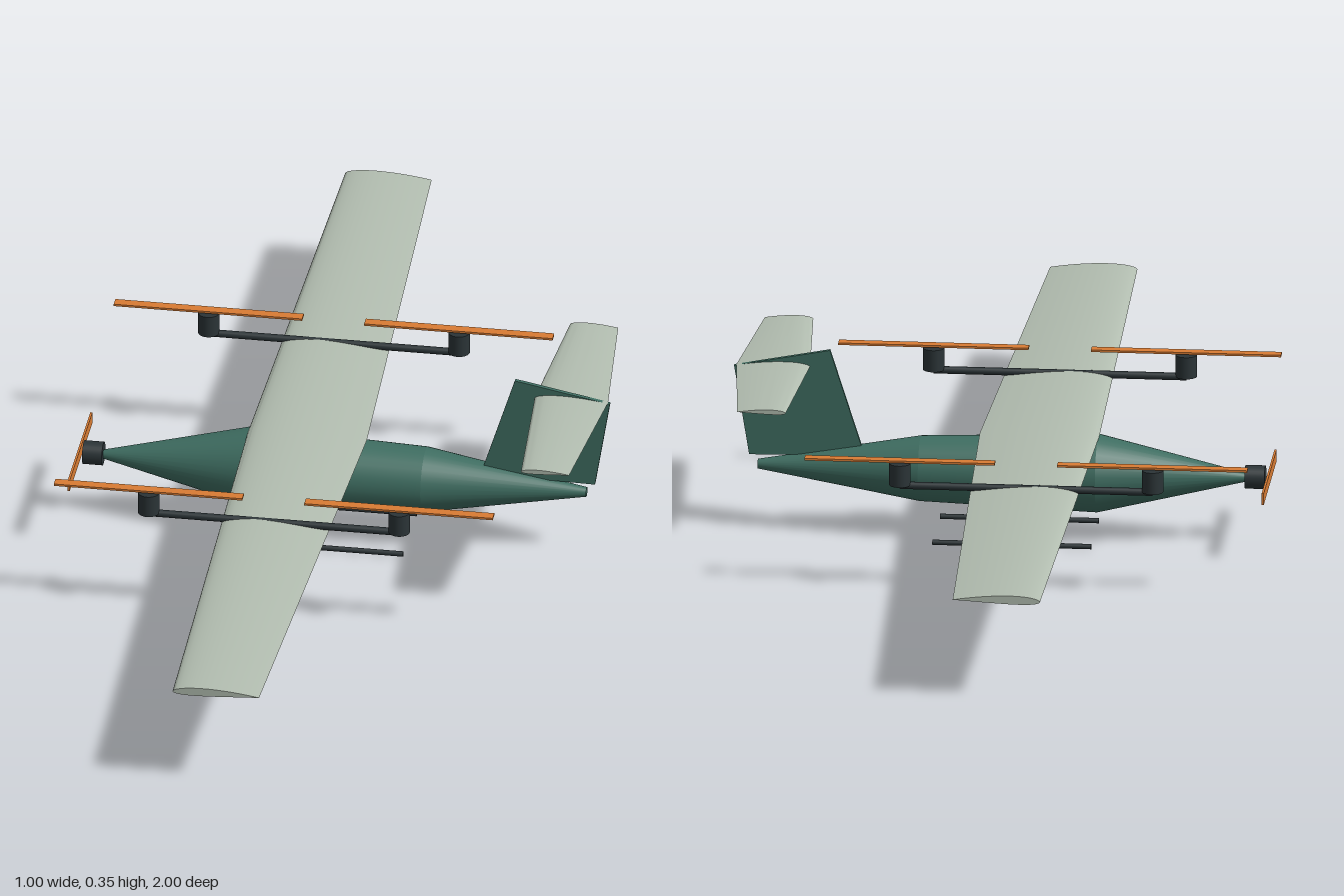
import * as THREE from 'three';
import { toCreasedNormals } from 'three/addons/utils/BufferGeometryUtils.js';

const paint = (color) => new THREE.MeshStandardMaterial({ color, side: THREE.DoubleSide });

// Unit-chord aerofoil, leading edge at x = 0, cambered a little upwards
function aerofoil(thickness) {
  const n = 16, upper = [], lower = [];
  for (let i = 0; i <= n; i++) {
    const x = (1 - Math.cos((i / n) * Math.PI)) / 2;
    const half = 5 * thickness * (0.2969 * Math.sqrt(x) - 0.126 * x - 0.3516 * x * x + 0.2843 * x ** 3 - 0.1036 * x ** 4);
    const camber = 0.06 * x * (1 - x);
    upper.push(new THREE.Vector2(x, camber + half));
    lower.push(new THREE.Vector2(x, camber - half));
  }
  return new THREE.Shape([...lower, ...upper.reverse().slice(1, -1)]);
}

// Symmetric tapered wing along z; root and tip are [leading x, trailing x]
function wingGeometry(root, tip, halfSpan, thickness) {
  const geo = new THREE.ExtrudeGeometry(aerofoil(thickness), { depth: 2, steps: 2, bevelEnabled: false });
  geo.translate(0, 0, -1);
  const p = geo.attributes.position;
  for (let i = 0; i < p.count; i++) {
    const t = Math.abs(p.getZ(i));
    const lead = THREE.MathUtils.lerp(root[0], tip[0], t);
    const chord = THREE.MathUtils.lerp(root[1], tip[1], t) - lead;
    p.setXYZ(i, lead + p.getX(i) * chord, p.getY(i) * chord, p.getZ(i) * halfSpan);
  }
  return toCreasedNormals(geo, 0.6);
}

// Frustum along x from x0 (radius r0) to x1 (radius r1)
function tubeX(x0, x1, r0, r1 = r0, sides = 32, open = false) {
  const geo = new THREE.CylinderGeometry(r0, r1, x1 - x0, sides, 1, open);
  geo.rotateZ(Math.PI / 2);
  return geo.translate((x0 + x1) / 2, 0, 0);
}

export function createModel() {
  const model = new THREE.Group();
  const green = paint(0x42705f), pale = paint(0xb2bdb0), dark = paint(0x2b3437), orange = paint(0xd97c34);
  green.color.set(0x3f6e62);

  const add = (parent, name, geo, mat, x = 0, y = 0, z = 0) => {
    const mesh = new THREE.Mesh(geo, mat);
    mesh.name = name;
    mesh.position.set(x, y, z);
    parent.add(mesh);
    return mesh;
  };

  // Fuselage: nose cone, cabin and tail cone
  const fuselage = new THREE.Group();
  fuselage.name = 'fuselage';
  fuselage.position.y = 0.123;
  model.add(fuselage);
  add(fuselage, 'noseCone', tubeX(-0.455, -0.18, 0.008, 0.073), green);
  add(fuselage, 'cabin', tubeX(-0.18, 0.15, 0.073, 0.061), green);
  add(fuselage, 'tailCone', tubeX(0.15, 0.452, 0.061, 0.009), green);

  // Nose motor and propeller
  add(model, 'noseMotor', tubeX(-0.49, -0.453, 0.022), dark, 0, 0.124, 0);
  add(model, 'nosePropeller', new THREE.BoxGeometry(0.004, 0.022, 0.264), orange, -0.497, 0.124, 0);

  // Main wing and tailplane
  add(model, 'wing', wingGeometry([-0.182, 0.04], [-0.162, 0], 1, 0.1), pale, 0, 0.195, 0);
  add(model, 'tailplane', wingGeometry([0.355, 0.492], [0.375, 0.465], 0.285, 0.1), pale, 0, 0.315, 0);

  // Swept fin carrying the tailplane
  const finShape = new THREE.Shape([
    new THREE.Vector2(0.254, 0.146), new THREE.Vector2(0.468, 0.142),
    new THREE.Vector2(0.496, 0.314), new THREE.Vector2(0.318, 0.348),
  ]);
  const fin = new THREE.ExtrudeGeometry(finShape, { depth: 0.008, bevelEnabled: false });
  add(model, 'fin', fin, green, 0, 0, -0.004);

  for (const side of [-1, 1]) {
    // Lift boom with a rotor at each end
    const boom = new THREE.Group();
    boom.name = side > 0 ? 'leftLiftBoom' : 'rightLiftBoom';
    boom.position.z = side * 0.347;
    model.add(boom);
    add(boom, 'boomTube', tubeX(-0.312, 0.157, 0.007, 0.007, 16), dark, 0, 0.202, 0);
    for (const [end, x] of [['front', -0.312], ['rear', 0.157]]) {
      add(boom, end + 'LiftMotor', new THREE.CylinderGeometry(0.02, 0.02, 0.042, 24), dark, x, 0.224, 0);
      add(boom, end + 'LiftRotor', new THREE.BoxGeometry(0.353, 0.004, 0.02), orange, x, 0.25, 0);
    }
    // Landing skid
    add(model, side > 0 ? 'leftSkid' : 'rightSkid', tubeX(-0.174, 0.121, 0.005, 0.005, 12), dark, 0, 0.005, side * 0.078);
  }
  return model;
}
